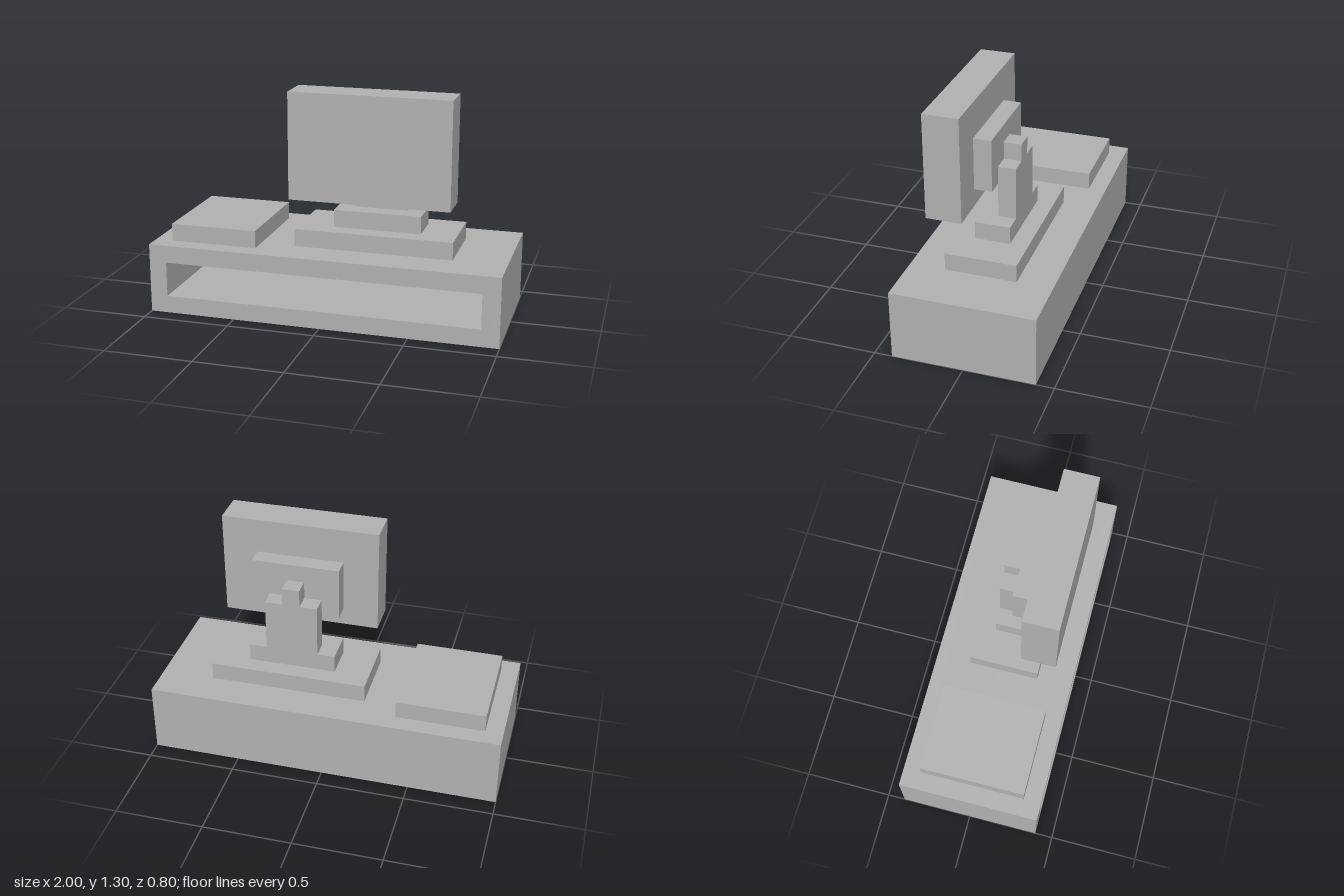
import * as THREE from 'three';

export function createModel() {
  const model = new THREE.Group();
  model.name = 'tvStand';
  const grey = new THREE.MeshStandardMaterial({ color: 0xb2b2b2 });
  grey.name = 'grey';

  const add = (name, geometry) => {
    const mesh = new THREE.Mesh(geometry, grey);
    mesh.name = name;
    model.add(mesh);
  };

  // Box given by its limits on each axis
  const block = (name, [x0, x1], [y0, y1], [z0, z1]) => {
    const geometry = new THREE.BoxGeometry(x1 - x0, y1 - y0, z1 - z0);
    geometry.translate((x0 + x1) / 2, (y0 + y1) / 2, (z0 + z1) / 2);
    add(name, geometry);
  };

  // Add a rectangular outline to a path
  const rectangle = (path, x, y0, y1) =>
    path.moveTo(-x, y0).lineTo(x, y0).lineTo(x, y1).lineTo(-x, y1).closePath();

  // Cabinet with an open front compartment, closed at the back
  const frame = rectangle(new THREE.Shape(), 1, 0, 0.4);
  frame.holes.push(rectangle(new THREE.Path(), 0.9, 0.1, 0.3));
  const frameGeometry = new THREE.ExtrudeGeometry(frame, { depth: 0.7, bevelEnabled: false });
  frameGeometry.translate(0, 0, -0.3);
  add('cabinetFrame', frameGeometry);
  block('cabinetBack', [-1, 1], [0, 0.4], [-0.4, -0.3]);

  // Flat box beside the screen
  block('sideBox', [-0.9, -0.4], [0.4, 0.5], [-0.3, 0.3]);

  // Stepped screen foot
  block('footLower', [-0.2, 0.7], [0.4, 0.5], [-0.2, 0.2]);
  block('footUpper', [0, 0.5], [0.5, 0.6], [-0.1, 0.1]);

  // Neck with a narrow tip
  block('neck', [0.1, 0.4], [0.6, 0.9], [-0.1, 0]);
  block('neckTip', [0.2, 0.3], [0.9, 1], [-0.1, 0]);

  // Screen and the housing on its back
  block('screenHousing', [0, 0.5], [0.8, 1.1], [0, 0.1]);
  block('screen', [-0.2, 0.7], [0.7, 1.3], [0.1, 0.3]);

  return model;
}
